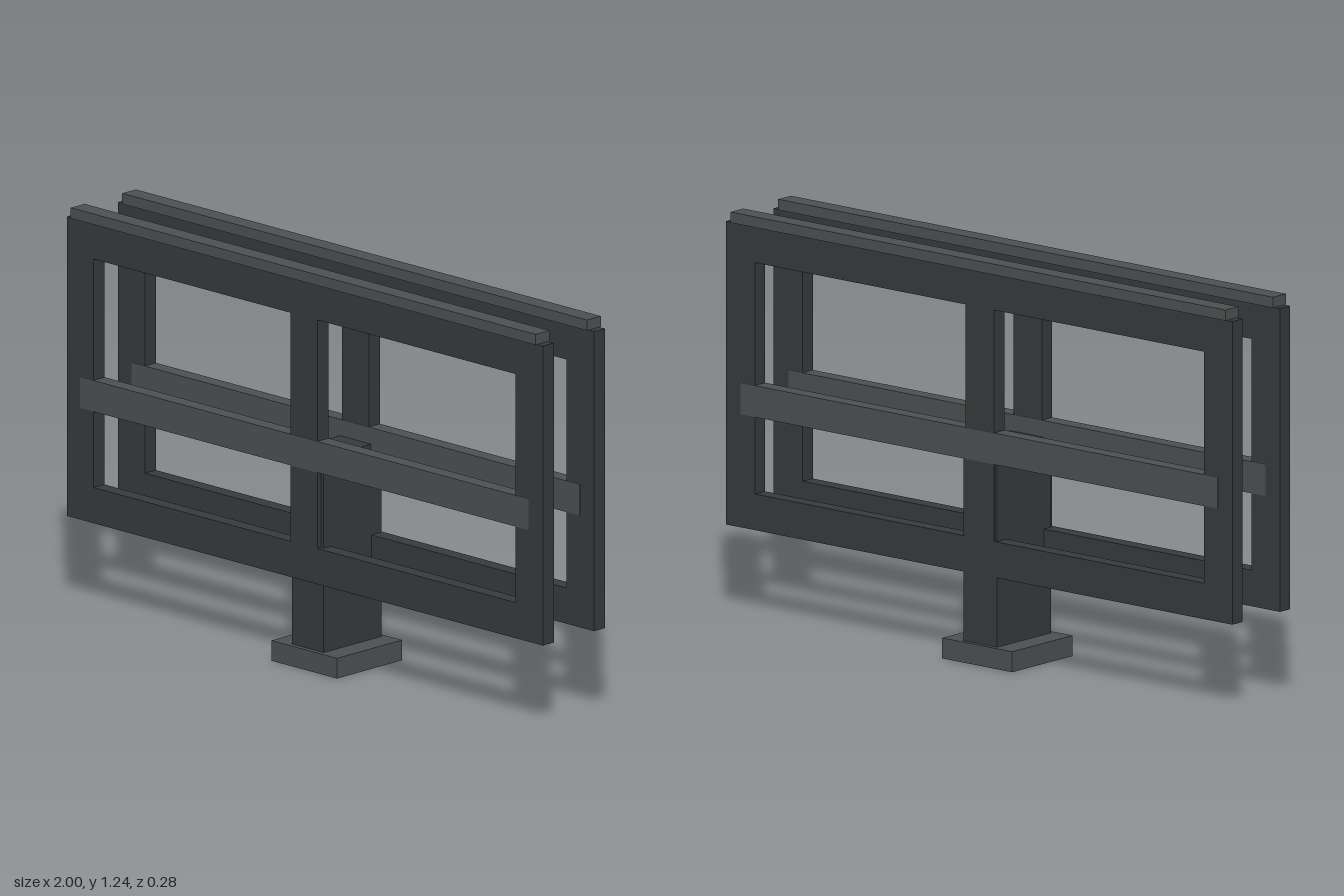
import * as THREE from 'three';

const dark = new THREE.MeshStandardMaterial({ color: 0x353a3a });
const light = new THREE.MeshStandardMaterial({ color: 0x4c5050 });

// Box given by its min and max on each axis
function box(name, material, [x0, x1], [y0, y1], [z0, z1]) {
  const mesh = new THREE.Mesh(new THREE.BoxGeometry(x1 - x0, y1 - y0, z1 - z0), material);
  mesh.position.set((x0 + x1) / 2, (y0 + y1) / 2, (z0 + z1) / 2);
  mesh.name = name;
  return mesh;
}

function rectangle(Type, x0, x1, y0, y1) {
  return new Type([[x0, y0], [x1, y0], [x1, y1], [x0, y1]].map(([x, y]) => new THREE.Vector2(x, y)));
}

// Rectangular frame with two window openings, a top cap and a cross rail
function panel(name, z0, z1) {
  const group = new THREE.Group();
  group.name = name;

  const outline = rectangle(THREE.Shape, -1, 1, 0.277, 1.21);
  outline.holes.push(
    rectangle(THREE.Path, -0.888, -0.06, 0.388, 1.1),
    rectangle(THREE.Path, 0.053, 0.885, 0.388, 1.1),
  );
  const frame = new THREE.Mesh(
    new THREE.ExtrudeGeometry(outline, { depth: z1 - z0, bevelEnabled: false }), dark);
  frame.position.z = z0;
  frame.name = 'frame';

  group.add(
    frame,
    box('topCap', light, [-0.978, 0.976], [1.21, 1.243], [z0 - 0.006, z1 + 0.006]),
    box('crossRail', light, [-0.943, 0.94], [0.625, 0.722], [z0 - 0.001, z1 + 0.001]),
  );
  return group;
}

export function createModel() {
  const model = new THREE.Group();
  model.name = 'doubleFrameStand';
  model.add(
    box('base', light, [-0.14, 0.136], [0, 0.063], [-0.14, 0.138]),
    box('post', dark, [-0.068, 0.064], [0.063, 0.671], [-0.126, 0.122]),
    panel('frontPanel', 0.09, 0.137),
    panel('backPanel', -0.129, -0.082),
  );
  return model;
}
